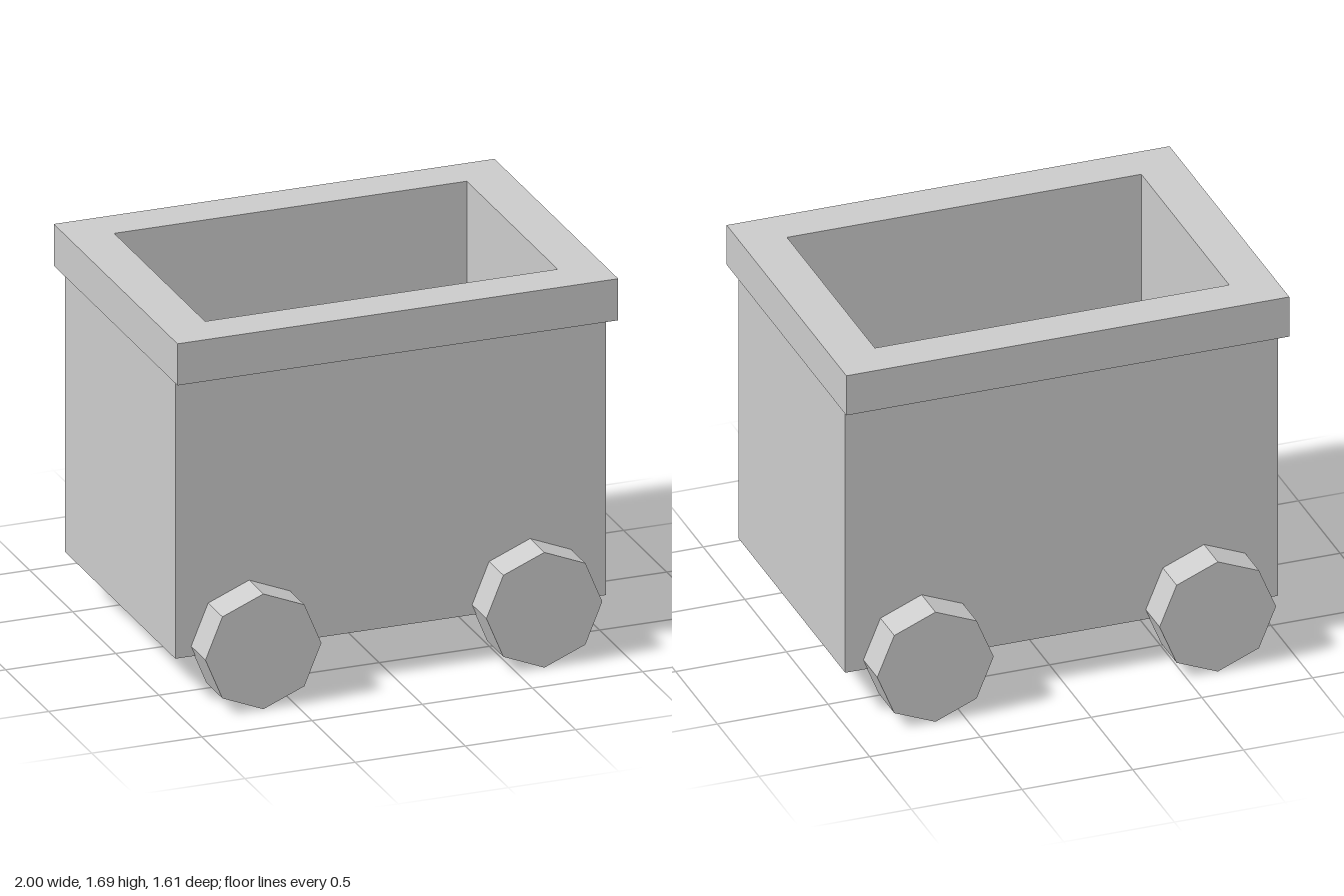
import * as THREE from 'three';

const material = new THREE.MeshStandardMaterial({ color: 0xcccccc, flatShading: true });

// Opening shared by the walls and the rim
const OPENING = [-0.8, 0.8, -0.53, 0.525];

function part(name, geometry) {
  const mesh = new THREE.Mesh(geometry, material);
  mesh.name = name;
  return mesh;
}

function corners(x0, x1, z0, z1) {
  // shape y becomes -z once the extrusion is turned upright
  return [[x0, -z1], [x1, -z1], [x1, -z0], [x0, -z0]].map(([x, y]) => new THREE.Vector2(x, y));
}

// Upright rectangular block from y0 to y1, optionally with the opening cut through
function block(bounds, y0, y1, open) {
  const shape = new THREE.Shape(corners(...bounds));
  if (open) shape.holes.push(new THREE.Path(corners(...OPENING).reverse()));
  return new THREE.ExtrudeGeometry(shape, { depth: y1 - y0, bevelEnabled: false })
    .rotateX(-Math.PI / 2)
    .translate(0, y0, 0);
}

export function createModel() {
  const cart = new THREE.Group();
  cart.name = 'cart';

  // Deep open box with a thick floor and an overhanging rim
  const body = [-0.98, 0.975, -0.64, 0.64];
  cart.add(
    part('floor', block(body, 0.22, 0.4, false)),
    part('walls', block(body, 0.4, 1.5, true)),
    part('rim', block([-1, 1, -0.72, 0.717], 1.5, 1.69, true)),
  );

  // Four octagonal wheels, partly sunk into the sides
  const wheel = new THREE.CylinderGeometry(0.263, 0.263, 0.186, 8).rotateX(Math.PI / 2);
  for (const [end, x] of [['Right', -0.645], ['Left', 0.63]]) {
    for (const [side, z] of [['front', 0.713], ['back', -0.713]]) {
      const mesh = part(`${side}${end}Wheel`, wheel);
      mesh.position.set(x, 0.266, z);
      cart.add(mesh);
    }
  }
  return cart;
}
